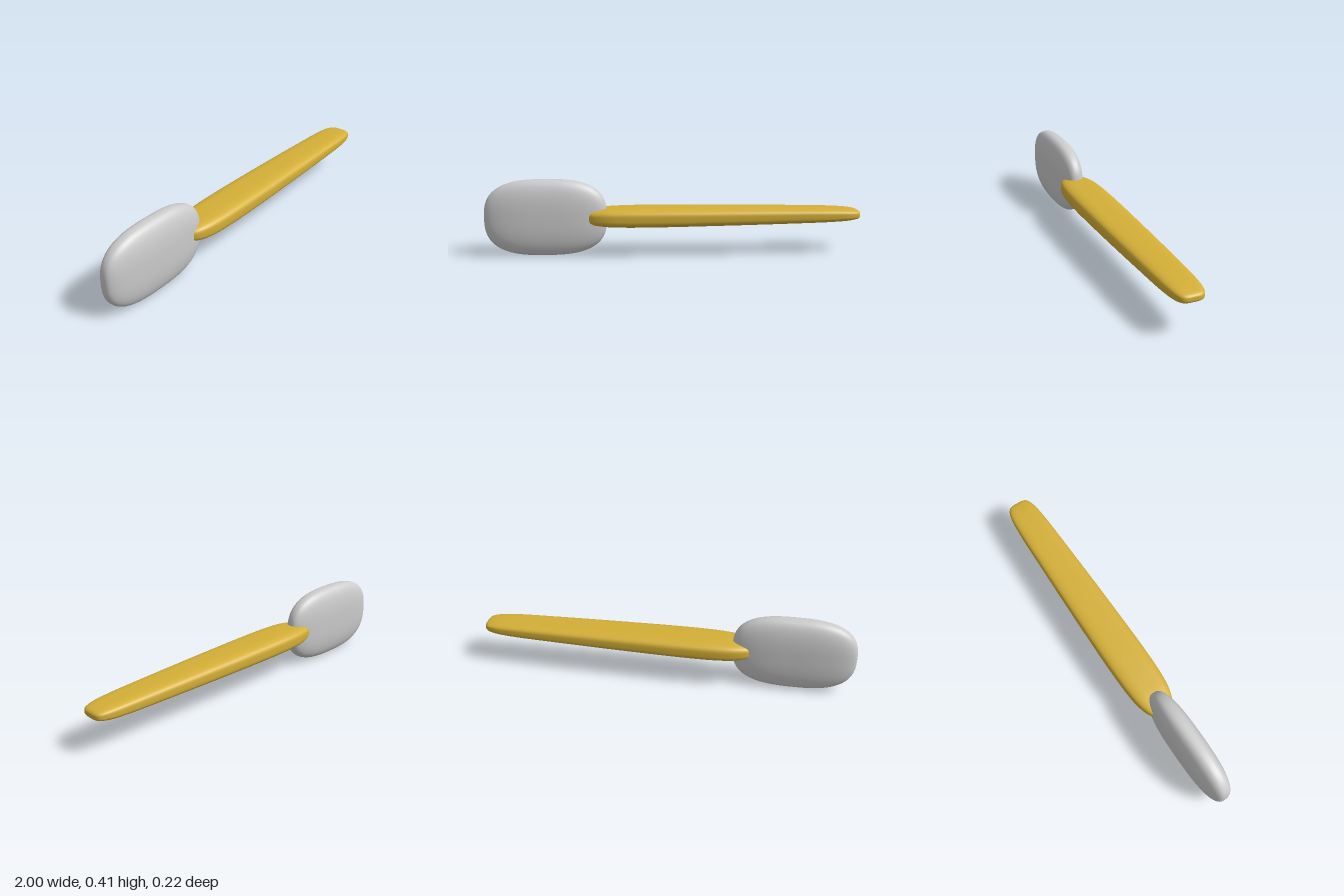
import * as THREE from 'three';

const CENTRE_Y = 0.205;

// Lofts superellipse cross-sections along x; each section is (x, half height, half depth).
function loft(sections, exponent, sides = 64) {
  const positions = [], indices = [];
  const power = (v) => Math.sign(v) * Math.abs(v) ** (2 / exponent);
  for (const s of sections) {
    for (let j = 0; j < sides; j++) {
      const a = (j / sides) * Math.PI * 2;
      positions.push(s.x, CENTRE_Y + s.y * power(Math.sin(a)), s.z * power(Math.cos(a)));
    }
  }
  for (let i = 0; i < sections.length - 1; i++) {
    for (let j = 0; j < sides; j++) {
      const k = (j + 1) % sides;
      const a = i * sides + j, b = i * sides + k;
      const c = a + sides, d = b + sides;
      indices.push(a, c, b, b, c, d);
    }
  }
  const geometry = new THREE.BufferGeometry();
  geometry.setAttribute('position', new THREE.Float32BufferAttribute(positions, 3));
  geometry.setIndex(indices);
  geometry.computeVertexNormals();
  return geometry;
}

function addPart(group, name, geometry, color) {
  const mesh = new THREE.Mesh(geometry, new THREE.MeshStandardMaterial({ color }));
  mesh.name = name;
  group.add(mesh);
}

export function createModel() {
  const group = new THREE.Group();
  group.name = 'paddle';

  // Head: a flattened, boxy rounded pebble
  const n = 2.75, steps = 56, headSections = [];
  for (let i = 0; i <= steps; i++) {
    const a = (i / steps) * Math.PI;
    const u = -Math.sign(Math.cos(a)) * Math.abs(Math.cos(a)) ** (2 / n);
    const r = Math.max(0, Math.sin(a)) ** (2 / n);
    headSections.push(new THREE.Vector3(-0.6775 + 0.3225 * u, 0.204 * r, 0.072 * r));
  }
  addPart(group, 'head', loft(headSections, 2.6), 0xcccccc);

  // Handle: a long soft bar that tapers towards its blunt free end
  const profile = [
    [-0.462, 0, 0], [-0.46, 0.02, 0.045], [-0.435, 0.036, 0.07], [-0.37, 0.046, 0.093],
    [-0.28, 0.05, 0.104], [-0.12, 0.051, 0.108], [0.2, 0.048, 0.104], [0.6, 0.042, 0.094],
    [0.85, 0.036, 0.085], [0.94, 0.03, 0.075], [0.985, 0.022, 0.058], [0.998, 0.013, 0.036],
    [1, 0, 0],
  ].map((p) => new THREE.Vector3(...p));
  const handleSections = new THREE.CatmullRomCurve3(profile).getPoints(96);
  addPart(group, 'handle', loft(handleSections, 3.4), 0xd4af37);

  return group;
}
